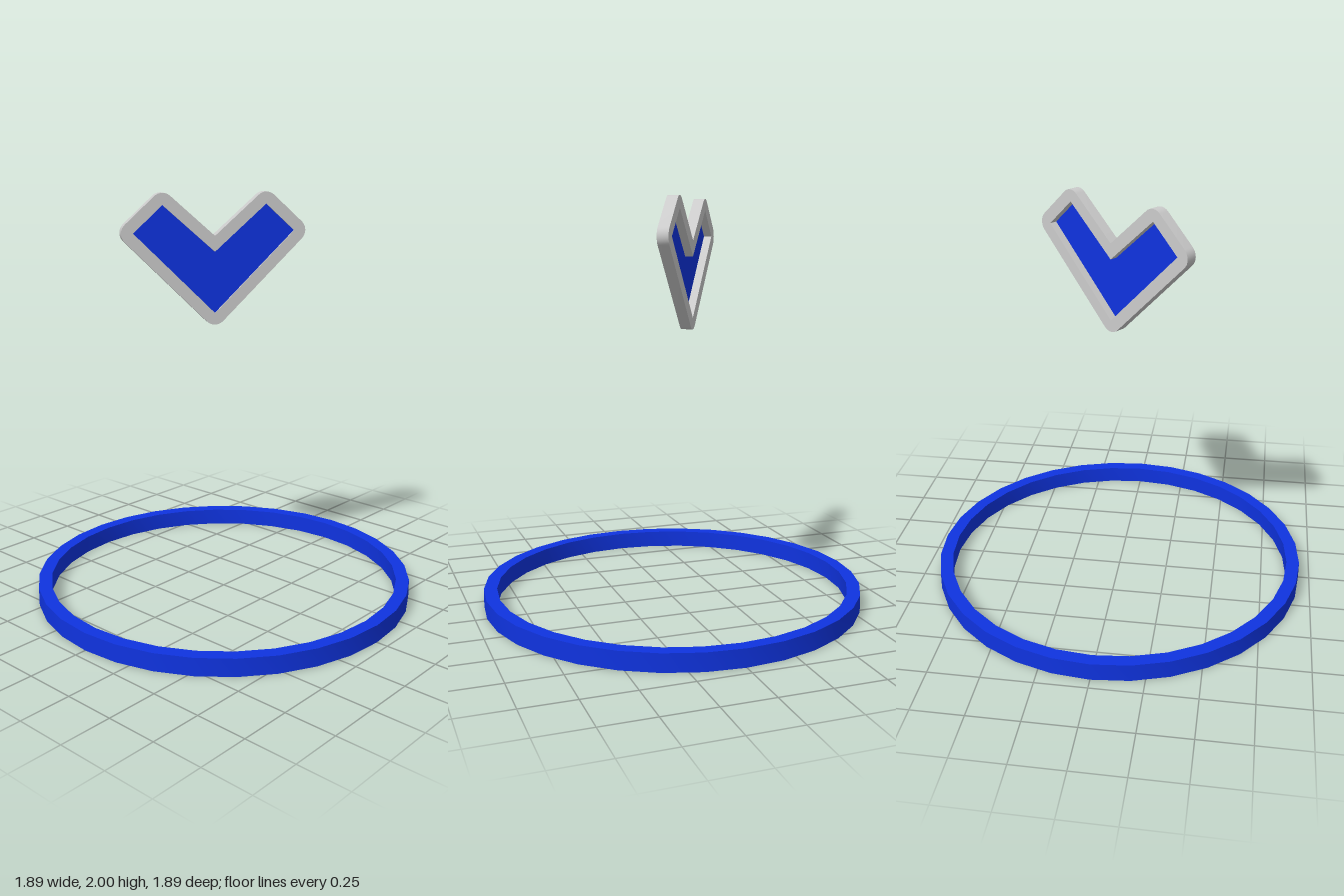
import * as THREE from 'three';
import { toCreasedNormals } from 'three/addons/utils/BufferGeometryUtils.js';

const V = (x, y) => new THREE.Vector2(x, y);

// Outline of a counter-clockwise polygon grown by d: round outer corners, mitred notches
function grownOutline(points, d, steps = 8) {
  const n = points.length;
  const out = [];
  const normalAngle = (a, b) => Math.atan2(a.x - b.x, b.y - a.y);
  points.forEach((p, i) => {
    const a0 = normalAngle(points[(i + n - 1) % n], p);
    let turn = normalAngle(p, points[(i + 1) % n]) - a0;
    turn = Math.atan2(Math.sin(turn), Math.cos(turn));
    if (turn > 0) {
      for (let k = 0; k <= steps; k++) {
        const a = a0 + (turn * k) / steps;
        out.push(V(p.x + d * Math.cos(a), p.y + d * Math.sin(a)));
      }
    } else {
      const a = a0 + turn / 2, r = d / Math.cos(turn / 2);
      out.push(V(p.x + r * Math.cos(a), p.y + r * Math.sin(a)));
    }
  });
  return out;
}

function extrude(shape, depth, z) {
  const geometry = new THREE.ExtrudeGeometry(shape, { depth, bevelEnabled: false });
  geometry.translate(0, 0, z);
  return toCreasedNormals(geometry, 0.5);
}

export function createModel() {
  const model = new THREE.Group();
  const blue = new THREE.MeshStandardMaterial({ color: 0x0f33e0 });
  const grey = new THREE.MeshStandardMaterial({ color: 0xcccccc });

  const add = (parent, name, geometry, material) => {
    const mesh = new THREE.Mesh(geometry, material);
    mesh.name = name;
    parent.add(mesh);
  };

  // Flat ring on the ground
  const outer = 0.944, inner = 0.879, height = 0.087;
  const section = [V(inner, 0), V(outer, 0), V(outer, height), V(inner, height), V(inner, 0)];
  add(model, 'groundRing', toCreasedNormals(new THREE.LatheGeometry(section, 32), 0.5), blue);

  // Floating chevron marker, turned about the vertical axis
  const marker = new THREE.Group();
  marker.name = 'chevronMarker';
  marker.position.set(0.012, 0, -0.075);
  marker.rotation.y = -0.606;
  model.add(marker);

  const chevron = [
    V(0, 1.42), V(0.396, 1.813), V(0.254, 1.943),
    V(0, 1.718), V(-0.254, 1.943), V(-0.396, 1.813),
  ];

  // Rounded frame with the chevron cut out
  const thickness = 0.055;
  const frame = new THREE.Shape(grownOutline(chevron, 0.057));
  frame.holes.push(new THREE.Path(chevron));
  add(marker, 'chevronFrame', extrude(frame, thickness, -thickness / 2), grey);

  // Thin panel set near the front of the frame
  add(marker, 'chevronPanel', extrude(new THREE.Shape(chevron), 0.008, 0.012), blue);

  return model;
}
